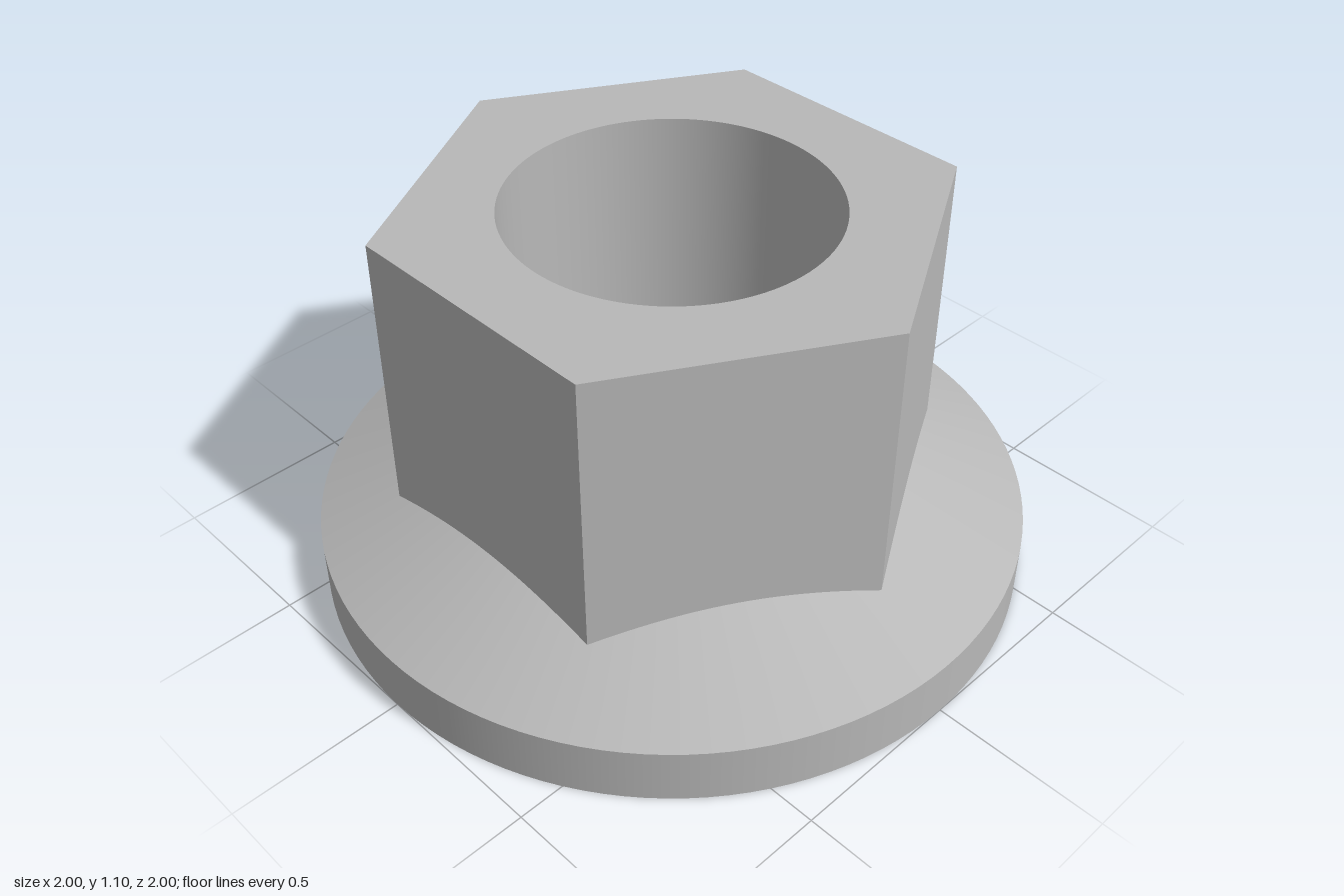
import * as THREE from 'three';

const SEGMENTS = 120; // a multiple of 6, so vertices land on the hexagon corners
const BORE = 0.45, FLANGE = 1, RIM = 0.165, TOP = 1.095, APOTHEM = 0.671;
const SLOPE = 0.49; // rise of the conical flange per unit of radius

// Radius of the hexagon at an angle measured from +z (a corner points to +z)
function hexRadius(phi) {
  const sector = Math.PI / 3;
  const a = ((phi % sector) + sector) % sector;
  return APOTHEM / Math.cos(a - sector / 2);
}
const coneHeight = (r) => RIM + (FLANGE - r) * SLOPE;

// Edge curves: angle -> [radius, height]
const circle = (r, y) => () => [r, y];
const hexTop = (phi) => [hexRadius(phi), TOP];
const hexFoot = (phi) => [hexRadius(phi), coneHeight(hexRadius(phi))];

// Surface around the y axis spanning two edge curves
function band(from, to, flat = false) {
  const ends = [from, to];
  const points = ends.map((edge) => new THREE.Vector2(...edge(Math.PI / 6)));
  let geometry = new THREE.LatheGeometry(points, SEGMENTS);
  const position = geometry.attributes.position;
  for (let i = 0; i < position.count; i++) {
    const phi = (Math.floor(i / 2) / SEGMENTS) * Math.PI * 2;
    const [r, y] = ends[i % 2](phi);
    position.setXYZ(i, r * Math.sin(phi), y, r * Math.cos(phi));
  }
  if (flat) {
    geometry = geometry.toNonIndexed();
    geometry.computeVertexNormals();
  }
  return geometry;
}

export function createModel() {
  const group = new THREE.Group();
  group.name = 'flangeNut';
  const steel = new THREE.MeshStandardMaterial({ color: 0xb8b8b8 });
  steel.name = 'steel grey';

  const add = (name, geometry) => {
    const mesh = new THREE.Mesh(geometry, steel);
    mesh.name = name;
    group.add(mesh);
  };

  // Round flange, its cone trimmed to the hexagon
  add('flangeUnderside', band(circle(BORE, 0), circle(FLANGE, 0)));
  add('flangeRim', band(circle(FLANGE, 0), circle(FLANGE, RIM)));
  add('flangeCone', band(circle(FLANGE, RIM), hexFoot));

  // Hexagonal body with curved lower edges
  add('hexSides', band(hexFoot, hexTop, true));
  add('hexTopFace', band(hexTop, circle(BORE, TOP)));

  // Through hole
  add('bore', band(circle(BORE, TOP), circle(BORE, 0)));
  return group;
}
